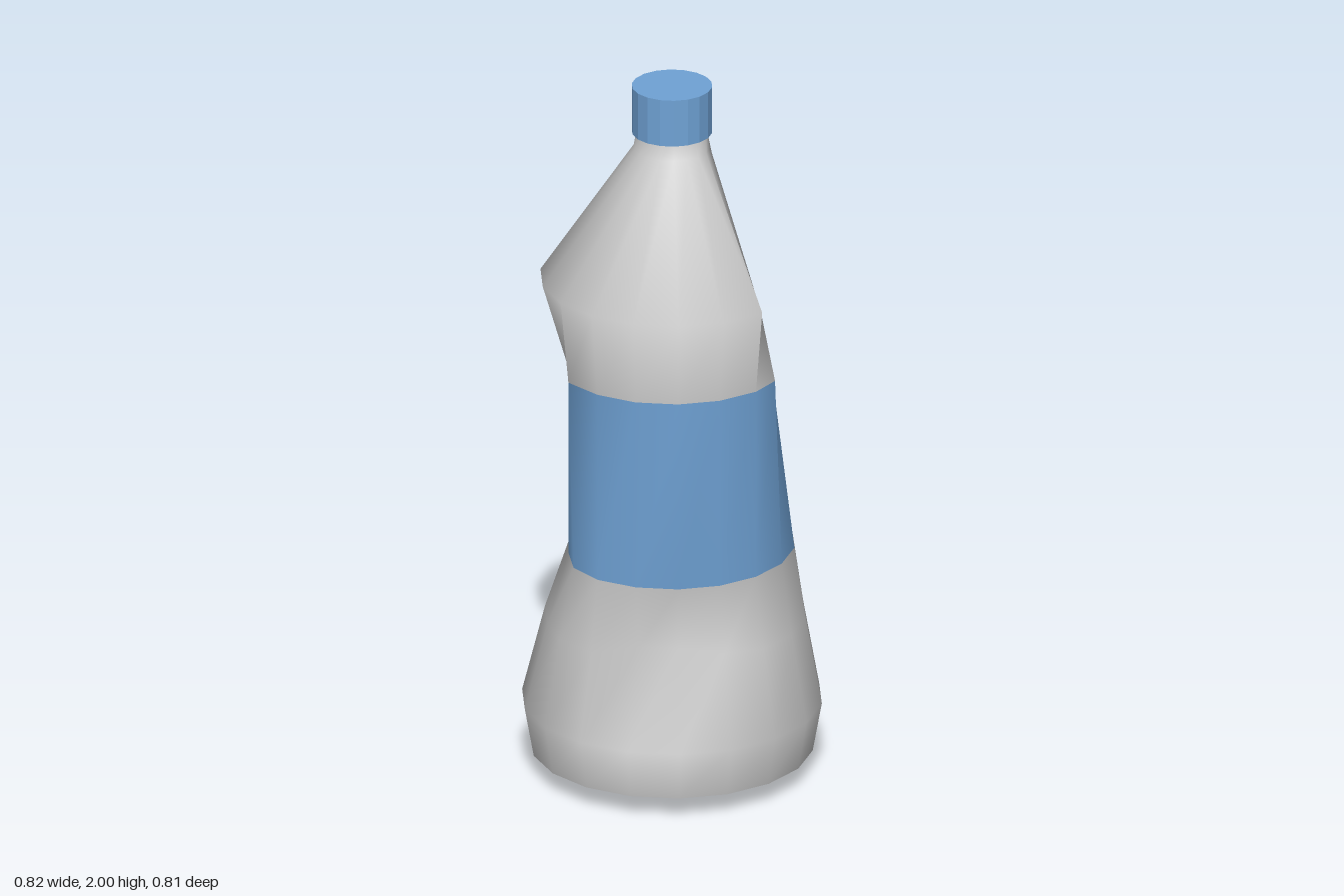
import * as THREE from 'three';

const SIDES = 18;
const grey = new THREE.MeshStandardMaterial({ color: 0xcccccc, side: THREE.DoubleSide });
const blue = new THREE.MeshStandardMaterial({ color: 0x70a3d6, side: THREE.DoubleSide });
const blueFlat = new THREE.MeshStandardMaterial({ color: 0x70a3d6, flatShading: true });

// Wall rings from base to neck. dents: { corner index: [dx, dz] }, corners counted from +x towards -z
const rings = [
  { y: 0.06, r: 0.385 },
  { y: 0.2, r: 0.41 },
  // knock in the lower front
  { y: 0.45, r: 0.365, dents: {
    11: [0.015, -0.01], 12: [0.015, -0.01], 15: [-0.06, -0.08], 16: [-0.08, -0.07], 17: [-0.03, -0.03] } },
  // waist squeezed on the right
  { y: 0.655, r: 0.335, dents: {
    8: [0.045, -0.045], 9: [0.065, -0.06], 10: [0.048, -0.048], 11: [0.04, -0.04],
    12: [0.032, -0.032], 13: [0.01, -0.01] } },
  { y: 1.2, r: 0.335, dents: {
    1: [0, 0.025], 2: [0, 0.085], 3: [0, 0.125], 4: [0, 0.08], 5: [0, 0.025], 6: [0, 0.005],
    10: [0.05, -0.025], 11: [0.038, -0.038], 12: [0.032, -0.032] } },
  // shoulder pushed in at the back
  { y: 1.44, r: 0.36, dents: {
    1: [0, 0.11], 2: [0, 0.22], 3: [0, 0.25], 4: [0, 0.225], 5: [0, 0.115], 6: [0, 0.013] } },
  { y: 1.82, r: 0.105 },
  { y: 1.88, r: 0.093 },
];

// One smooth wall, so that the label and the plastic share their normals
function wallGeometry() {
  const pos = [];
  const index = [];
  for (const { y, r, dents = {} } of rings) {
    for (let i = 0; i < SIDES; i++) {
      const a = (i / SIDES) * Math.PI * 2;
      const [dx, dz] = dents[i] || [0, 0];
      pos.push(r * Math.cos(a) + dx, y, -r * Math.sin(a) + dz);
    }
  }
  for (let k = 0; k < rings.length - 1; k++) {
    for (let i = 0; i < SIDES; i++) {
      const a = k * SIDES + i;
      const b = k * SIDES + ((i + 1) % SIDES);
      index.push(a, b, b + SIDES, a, b + SIDES, a + SIDES);
    }
  }
  const geo = new THREE.BufferGeometry();
  geo.setAttribute('position', new THREE.Float32BufferAttribute(pos, 3));
  geo.setIndex(index);
  geo.computeVertexNormals();
  return geo;
}

// Cut the bands between two rings out of the wall
function bands(wall, from, to) {
  const geo = new THREE.BufferGeometry();
  geo.setAttribute('position', wall.getAttribute('position'));
  geo.setAttribute('normal', wall.getAttribute('normal'));
  const step = SIDES * 6;
  geo.setIndex(Array.from(wall.index.array.slice(from * step, to * step)));
  return geo;
}

export function createModel() {
  const group = new THREE.Group();
  const add = (name, geo, mat) => {
    const mesh = new THREE.Mesh(geo, mat);
    mesh.name = name;
    group.add(mesh);
    return mesh;
  };

  const wall = wallGeometry();
  add('lowerBody', bands(wall, 0, 3), grey);
  add('label', bands(wall, 3, 4), blue);
  add('shoulderAndNeck', bands(wall, 4, 7), grey);

  // Base: flat, with its middle pushed out
  const basePoints = [[0, 0], [0.16, 0.06], [0.385, 0.06]].map(([x, y]) => new THREE.Vector2(x, y));
  add('base', new THREE.LatheGeometry(basePoints, SIDES, Math.PI / 2), grey);

  // Cap
  const cap = new THREE.CylinderGeometry(0.11, 0.11, 0.135, SIDES, 1, false, Math.PI / 2);
  add('cap', cap, blueFlat).position.y = 1.9325;

  return group;
}
